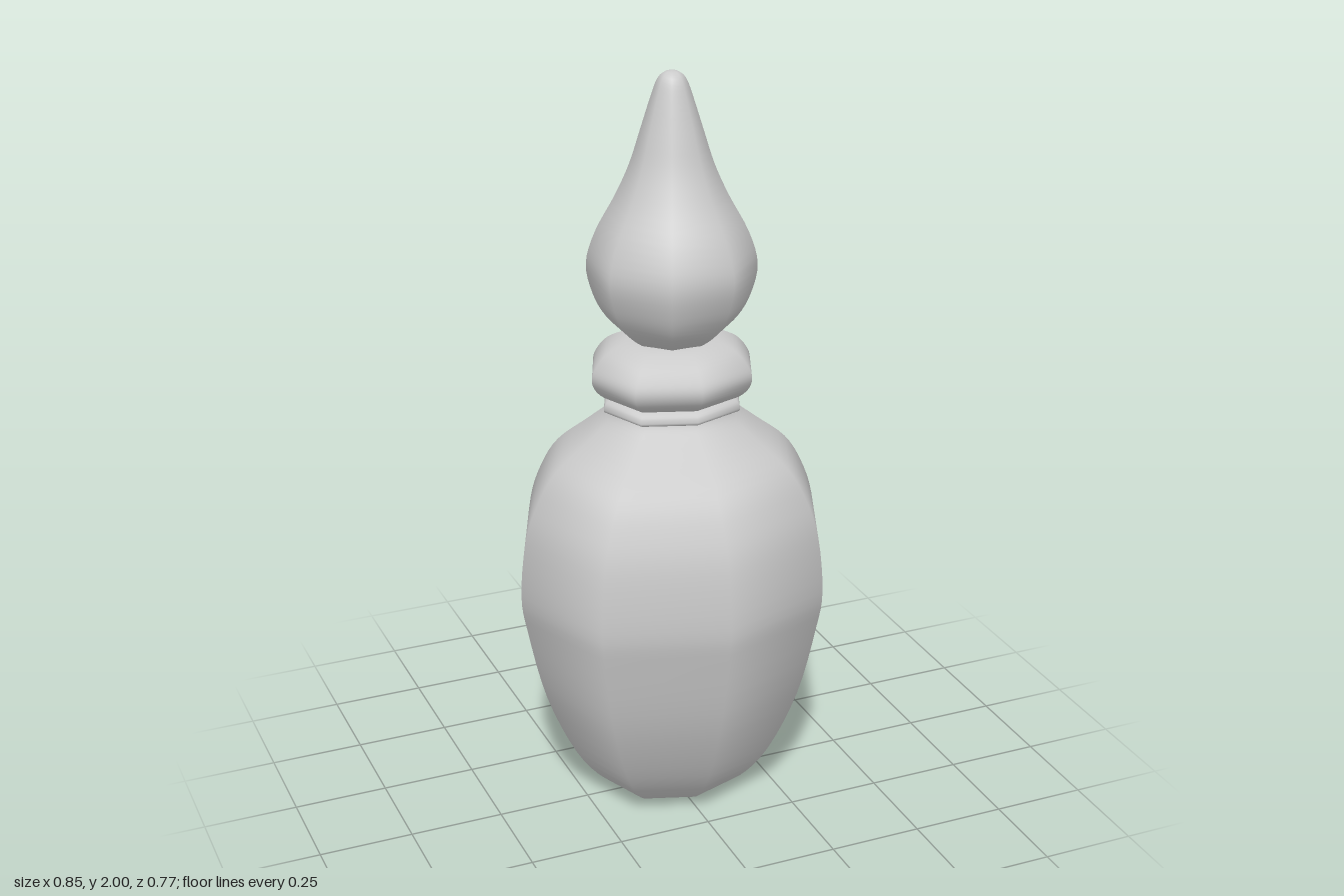
import * as THREE from 'three';

const material = new THREE.MeshStandardMaterial({ color: 0xcccccc, side: THREE.DoubleSide });

// Smooth eight-sided turning through [radius, height] points, bottom to top.
function turned(name, points, steps, phiStart = 0) {
  const curve = new THREE.SplineCurve(points.map(([r, y]) => new THREE.Vector2(r, y)));
  const profile = curve.getPoints(steps);
  profile.forEach(p => { p.x = Math.max(p.x, 0); });
  const geometry = new THREE.LatheGeometry(profile, 8, phiStart);
  const mesh = new THREE.Mesh(geometry, material);
  mesh.name = name;
  return mesh;
}

// Flatten front to back and push the diagonal corners out slightly.
function makeOval(mesh) {
  const pos = mesh.geometry.attributes.position;
  for (let i = 0; i < pos.count; i++) {
    const x = pos.getX(i), z = pos.getZ(i);
    const diagonal = Math.min(Math.abs(x), Math.abs(z)) > 1e-4;
    const k = diagonal ? 1.028 : 1;
    pos.setX(i, x * k);
    pos.setZ(i, z * k * 0.912);
  }
  return mesh;
}

export function createModel() {
  const group = new THREE.Group();
  group.name = 'finial';

  // Egg-shaped lower body
  group.add(makeOval(turned('body', [
    [0, 0.005], [0.06, 0.007], [0.13, 0.016], [0.2, 0.048], [0.28, 0.15], [0.36, 0.335],
    [0.409, 0.54], [0.424, 0.65], [0.409, 0.8], [0.375, 0.9], [0.325, 0.98],
    [0.24, 1.05], [0.185, 1.095], [0.165, 1.12], [0.16, 1.14],
  ], 56)));

  // Thin ring at the neck
  group.add(makeOval(turned('neckRing', [
    [0.14, 1.127], [0.183, 1.127], [0.187, 1.14], [0.18, 1.153], [0.16, 1.163], [0.14, 1.165],
  ], 15)));

  // Rounded collar
  group.add(makeOval(turned('collar', [
    [0.14, 1.155], [0.18, 1.165], [0.209, 1.19], [0.22, 1.22], [0.21, 1.25],
    [0.18, 1.285], [0.13, 1.308], [0.07, 1.312], [0, 1.312],
  ], 32)));

  // Drop-shaped top, its flat sides facing the axes
  const flat = 1 / Math.cos(Math.PI / 8);
  group.add(turned('topDrop', [
    [0, 1.285], [0.06, 1.292], [0.11, 1.32], [0.155, 1.365], [0.185, 1.425], [0.2, 1.505],
    [0.178, 1.59], [0.131, 1.685], [0.098, 1.765], [0.073, 1.85], [0.05, 1.93],
    [0.034, 1.978], [0.018, 1.996], [0, 2],
  ].map(([r, y]) => [r * flat, y]), 52, Math.PI / 8));

  return group;
}
